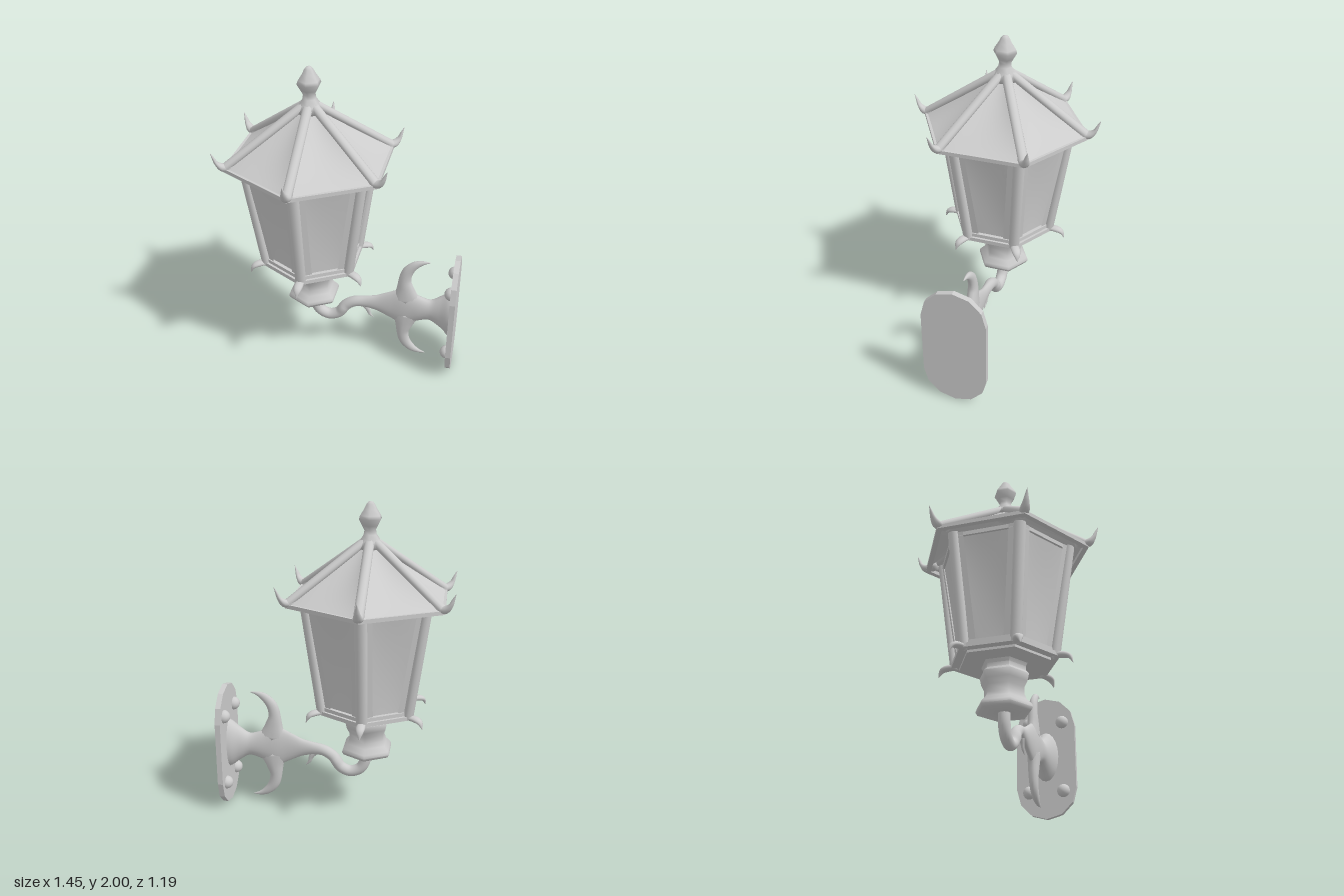
import * as THREE from 'three';
import { toCreasedNormals } from 'three/addons/utils/BufferGeometryUtils.js';

const metal = new THREE.MeshStandardMaterial({ color: 0xcccccc });
const sheet = new THREE.MeshStandardMaterial({ color: 0xcccccc, side: THREE.DoubleSide });

function add(parent, name, geometry, material = metal) {
  const mesh = new THREE.Mesh(geometry, material);
  mesh.name = name;
  parent.add(mesh);
  return mesh;
}

// Sweeps an ellipse along a path in the xy plane; stations are [x, y, inPlaneRadius, zRadius]
function sweep(stations, steps = 24, sides = 12) {
  const path = new THREE.CatmullRomCurve3(stations.map(s => new THREE.Vector3(s[0], s[1], 0)));
  const radii = new THREE.CatmullRomCurve3(stations.map(s => new THREE.Vector3(s[2], s[3], 0)));
  const pos = [], index = [];
  for (let i = 0; i <= steps; i++) {
    const p = path.getPoint(i / steps), t = path.getTangent(i / steps), r = radii.getPoint(i / steps);
    for (let j = 0; j < sides; j++) {
      const a = (j / sides) * Math.PI * 2;
      const n = Math.cos(a) * r.x;
      pos.push(p.x - t.y * n, p.y + t.x * n, Math.sin(a) * r.y);
    }
  }
  for (let i = 0; i < steps; i++) {
    for (let j = 0; j < sides; j++) {
      const k = (j + 1) % sides;
      const a = i * sides + j, b = i * sides + k, c = a + sides, d = b + sides;
      index.push(a, b, d, a, d, c);
    }
  }
  // End caps
  const last = steps * sides;
  for (let j = 1; j < sides - 1; j++) {
    index.push(0, j + 1, j, last, last + j, last + j + 1);
  }
  const g = new THREE.BufferGeometry();
  g.setAttribute('position', new THREE.Float32BufferAttribute(pos, 3));
  g.setIndex(index);
  g.computeVertexNormals();
  return g;
}

// Six-sided turned shape with corners on the z axis; profile runs bottom to top
const hexLathe = profile =>
  new THREE.LatheGeometry(profile.map(p => new THREE.Vector2(p[0], p[1])), 6);

// Six-sided ring with a rectangular section
const hexRing = (rIn, rOut, y0, y1) =>
  toCreasedNormals(hexLathe([[rIn, y0], [rOut, y0], [rOut, y1], [rIn, y1], [rIn, y0]]), 0.5);

// Sheet placed by a rule (u from 0 to 1 upward, v from -1 to 1 across) => [x, y, z], facing +x
function bentSheet(segments, rule) {
  const g = new THREE.PlaneGeometry(2, 1, segments, segments);
  const p = g.attributes.position;
  for (let i = 0; i < p.count; i++) p.setXYZ(i, ...rule(p.getY(i) + 0.5, p.getX(i)));
  g.computeVertexNormals();
  return g;
}

function buildLantern() {
  const lantern = new THREE.Group();
  lantern.name = 'lantern';
  const lerp = THREE.MathUtils.lerp, tan30 = Math.tan(Math.PI / 6);

  // Turned parts
  add(lantern, 'finial', hexLathe([[0, 1.72], [0.09, 1.73], [0.07, 1.77], [0.042, 1.81], [0.037, 1.835],
    [0.05, 1.86], [0.073, 1.9], [0.066, 1.92], [0.042, 1.955], [0.026, 1.985], [0.015, 1.997], [0, 2]]));
  add(lantern, 'neck', toCreasedNormals(hexLathe([[0, 0.42], [0.16, 0.42], [0.172, 0.44], [0.165, 0.46],
    [0.135, 0.49], [0.122, 0.52], [0.122, 0.565], [0.14, 0.6], [0.15, 0.645], [0.13, 0.665],
    [0.13, 0.69], [0.145, 0.715], [0, 0.715]]), 1.1));
  add(lantern, 'basePlate', hexRing(0, 0.28, 0.71, 0.73));
  add(lantern, 'floor', hexRing(0, 0.335, 0.725, 0.75));
  add(lantern, 'eaveRim', hexRing(0.495, 0.53, 1.417, 1.44));
  add(lantern, 'glassTopRim', hexRing(0.37, 0.42, 1.405, 1.43));

  // Corner parts
  const post = sweep([[0.305, 0.73, 0.03, 0.034], [0.41, 1.435, 0.03, 0.036]], 1);
  const rib = sweep([[0.51, 1.445, 0.025, 0.03], [0.04, 1.765, 0.025, 0.03]], 1);
  const eaveHorn = sweep([[0.45, 1.455, 0.022, 0.028], [0.525, 1.445, 0.024, 0.03],
    [0.56, 1.475, 0.013, 0.02], [0.576, 1.51, 0.008, 0.011], [0.592, 1.545, 0.001, 0.001]], 14);
  const footHorn = sweep([[0.29, 0.735, 0.016, 0.025], [0.355, 0.735, 0.018, 0.028],
    [0.39, 0.722, 0.014, 0.022], [0.41, 0.68, 0.001, 0.001]], 12);

  // Side parts: gently dished glass that leans outward, its frame strips, and a dished roof panel
  const apothem = u => lerp(0.25, 0.355, u);
  const dish = (u, v) => (1 - v * v) * 4 * u * (1 - u);
  const glass = bentSheet(12, (u, v) =>
    [apothem(u) - 0.018 * dish(u, v), lerp(0.74, 1.43, u), -v * apothem(u) * tan30]);
  const strips = [-1, 1].map(s => bentSheet(1, (u, v) => {
    const a = apothem(u) + 0.012;
    return [a, lerp(0.74, 1.43, u), s * (a * tan30 - 0.045) - v * 0.027];
  }));
  const roofPanel = bentSheet(12, (u, v) => {
    const a = lerp(0.452, 0.045, u);
    return [a - 0.015 * dish(u, v), lerp(1.435, 1.75, u) - 0.02 * dish(u, v), -v * a * tan30];
  });

  for (let k = 0; k < 6; k++) {
    const corner = new THREE.Group();
    corner.name = 'corner';
    corner.rotation.y = Math.PI / 6 + k * Math.PI / 3;
    add(corner, 'post', post);
    add(corner, 'roofRib', rib);
    add(corner, 'eaveHorn', eaveHorn);
    add(corner, 'footHorn', footHorn);

    const side = new THREE.Group();
    side.name = 'side';
    side.rotation.y = k * Math.PI / 3;
    add(side, 'glassPanel', glass, sheet);
    strips.forEach(s => add(side, 'glassFrame', s, sheet));
    add(side, 'glassSill', new THREE.BoxGeometry(0.03, 0.03, 0.27)).position.set(0.26, 0.758, 0);
    add(side, 'roofPanel', roofPanel, sheet);
    lantern.add(corner, side);
  }
  lantern.position.x = -0.215;
  return lantern;
}

function buildBracket() {
  const bracket = new THREE.Group();
  bracket.name = 'bracket';

  // Curved arm that swells and flares onto the wall plate
  add(bracket, 'arm', sweep([[-0.21, 0.46, 0.036, 0.036], [-0.207, 0.36, 0.036, 0.036], [-0.175, 0.295, 0.036, 0.036],
    [-0.11, 0.268, 0.036, 0.036], [-0.045, 0.295, 0.036, 0.036], [0, 0.36, 0.036, 0.036], [0.06, 0.4, 0.036, 0.034],
    [0.13, 0.41, 0.042, 0.028], [0.2, 0.412, 0.057, 0.026], [0.3, 0.413, 0.105, 0.03], [0.38, 0.413, 0.14, 0.038],
    [0.46, 0.413, 0.105, 0.041], [0.55, 0.413, 0.077, 0.043], [0.62, 0.413, 0.115, 0.06],
    [0.67, 0.413, 0.155, 0.08], [0.7, 0.413, 0.17, 0.088]], 80, 20));

  // Crescent thorns, mirrored about the arm axis
  for (const s of [1, -1]) {
    const at = (x, dy, r, rz) => [x, 0.413 + s * dy, r, rz];
    add(bracket, s > 0 ? 'upperThorn' : 'lowerThorn', sweep([at(0.4, 0.05, 0.1, 0.036), at(0.392, 0.13, 0.062, 0.034),
      at(0.385, 0.21, 0.04, 0.03), at(0.402, 0.28, 0.036, 0.026), at(0.447, 0.333, 0.027, 0.02),
      at(0.495, 0.357, 0.014, 0.011), at(0.54, 0.365, 0.002, 0.002)], 28));
  }
  add(bracket, 'spur', sweep([[0.12, 0.39, 0.022, 0.018], [0.148, 0.35, 0.016, 0.014],
    [0.16, 0.315, 0.01, 0.009], [0.185, 0.288, 0.001, 0.001]], 12, 8));

  // Wall plate with faceted round ends
  const outline = [];
  for (let i = 0; i <= 6; i++) outline.push([Math.cos(i * Math.PI / 6) * 0.2, 0.62 + Math.sin(i * Math.PI / 6) * 0.2]);
  for (let i = 6; i <= 12; i++) outline.push([Math.cos(i * Math.PI / 6) * 0.2, 0.203 + Math.sin(i * Math.PI / 6) * 0.2]);
  const shape = new THREE.Shape(outline.map(p => new THREE.Vector2(p[0], p[1])));
  const plate = add(bracket, 'wallPlate', new THREE.ExtrudeGeometry(shape, { depth: 0.034, bevelEnabled: false }));
  plate.rotation.y = Math.PI / 2;
  plate.position.x = 0.69;

  // Half-round bolt heads
  const boltHead = new THREE.SphereGeometry(0.043, 16, 8, 0, Math.PI * 2, 0, Math.PI / 2).rotateZ(Math.PI / 2);
  for (const y of [0.645, 0.18]) {
    for (const z of [-0.115, 0.115]) add(bracket, 'bolt', boltHead).position.set(0.691, y, z);
  }
  return bracket;
}

export function createModel() {
  const model = new THREE.Group();
  model.name = 'wallLantern';
  model.add(buildLantern(), buildBracket());
  return model;
}
